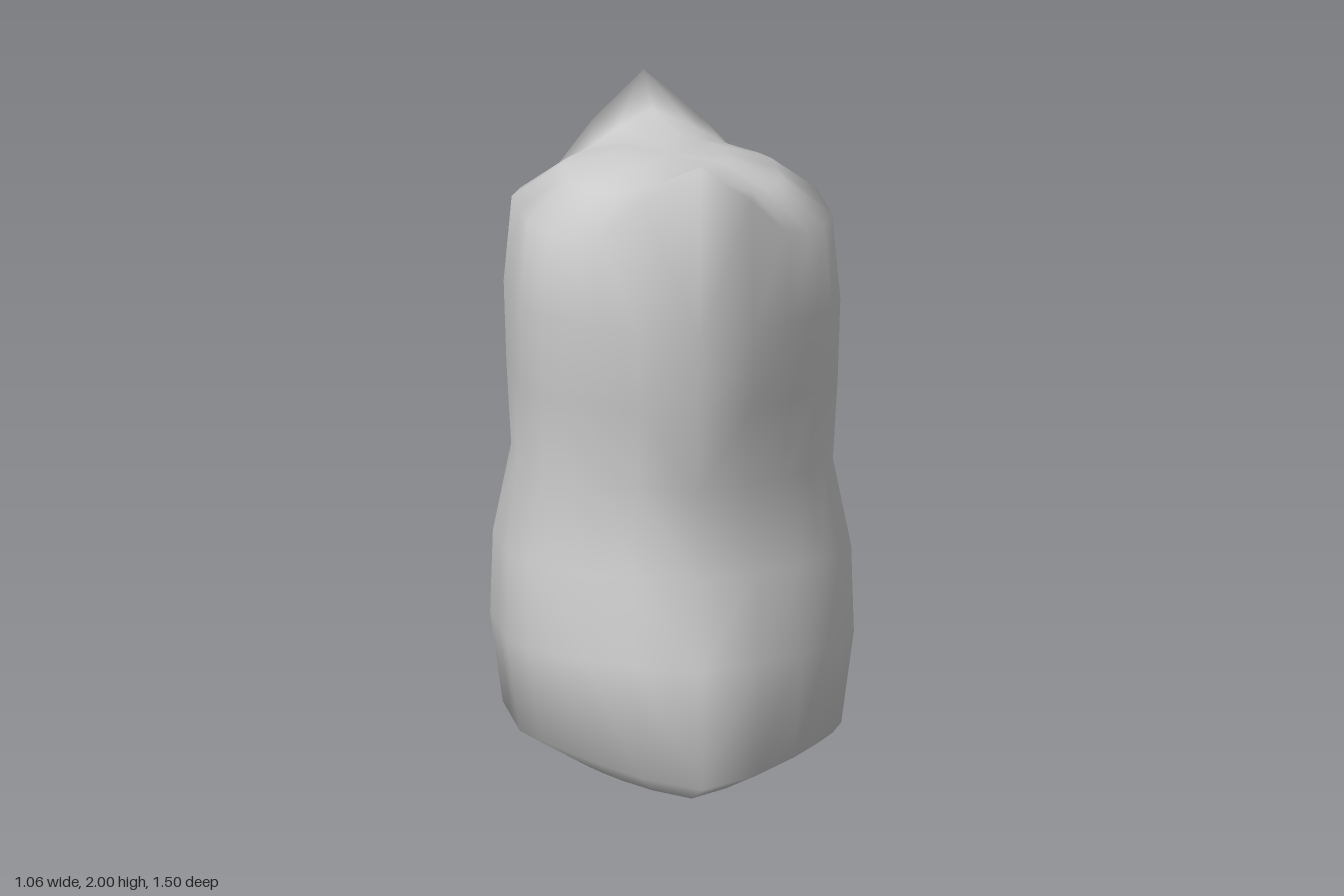
import * as THREE from 'three';

// One quarter of the lens-shaped cross-section, front tip to flat side:
// [x, z, top rim offset, bottom rim offset]
const QUARTER = [
  [0, 1, 0.11, 0.05],
  [0.36, 0.87, -0.02, 0.07],
  [0.62, 0.73, -0.14, 0.1],
  [0.79, 0.6, -0.165, 0.12],
  [0.91, 0.47, -0.165, 0.13],
  [1, 0.28, -0.16, 0.13],
  [1, 0, -0.16, 0.13],
];

// Mirror the quarter into a full loop, running +z, +x, -z, -x
function fullLoop() {
  const back = QUARTER.slice(0, -1).reverse().map(([x, z, t, b]) => [x, -z, t, b]);
  const half = [...QUARTER, ...back];
  const other = half.slice(1, -1).reverse().map(([x, z, t, b]) => [-x, z, t, b]);
  return [...half, ...other];
}

function bodyGeometry() {
  const loop = fullLoop();
  const n = loop.length;
  const pos = [];
  const index = [];
  const ring = (hx, hz, height) => {
    for (const p of loop) pos.push(p[0] * hx, height(p), p[1] * hz);
  };

  // Underside, from its centre outwards
  pos.push(0, 0.03, 0);
  for (const [s, f, dip] of [[0.35, 0, 0], [0.64, 0.22, 0.045], [1, 1, 0]]) {
    ring(0.49 * s, 0.75 * s, (p) => 0.03 + p[3] * f - dip * p[1] ** 2);
  }
  // Sides: [half width, half depth, height]
  for (const [hx, hz, y] of [
    [0.53, 0.715, 0.44], [0.525, 0.62, 0.7], [0.47, 0.6, 0.97],
    [0.482, 0.67, 1.22], [0.49, 0.68, 1.47],
  ]) ring(hx, hz, () => y);
  // Top with raised front and back peaks, from the rim inwards
  for (const [s, f] of [[1, 1], [0.69, 0.32], [0.36, 0]]) {
    ring(0.465 * s, 0.695 * s, (p) => 1.89 + p[2] * f);
  }
  pos.push(0, 1.89, 0);

  const rings = 11;
  const last = 1 + rings * n;
  for (let j = 0; j < n; j++) {
    const k = (j + 1) % n;
    index.push(0, 1 + k, 1 + j);
    for (let r = 0; r < rings - 1; r++) {
      const a = 1 + r * n;
      const b = a + n;
      // Mirror the diagonals so both halves match
      if (j < n / 4 || (j >= n / 2 && j < (3 * n) / 4)) {
        index.push(a + j, a + k, b + k, a + j, b + k, b + j);
      } else {
        index.push(a + j, a + k, b + j, a + k, b + k, b + j);
      }
    }
    index.push(last - n + j, last - n + k, last);
  }
  // The bottom fan faces down
  for (let i = 0; i < index.length; i += 3) {
    if (index[i] === 0) {
      const [, u, v] = index.slice(i, i + 3);
      index[i + 1] = Math.max(u, v) - Math.min(u, v) === 1 ? Math.max(u, v) : 1;
      index[i + 2] = Math.max(u, v) - Math.min(u, v) === 1 ? Math.min(u, v) : n;
    }
  }
  const g = new THREE.BufferGeometry();
  g.setAttribute('position', new THREE.Float32BufferAttribute(pos, 3));
  g.setIndex(index);
  g.computeVertexNormals();
  return g;
}

export function createModel() {
  const group = new THREE.Group();
  const body = new THREE.Mesh(
    bodyGeometry(),
    new THREE.MeshStandardMaterial({ color: 0xcccccc, side: THREE.DoubleSide }),
  );
  body.name = 'torso';
  group.add(body);
  return group;
}
